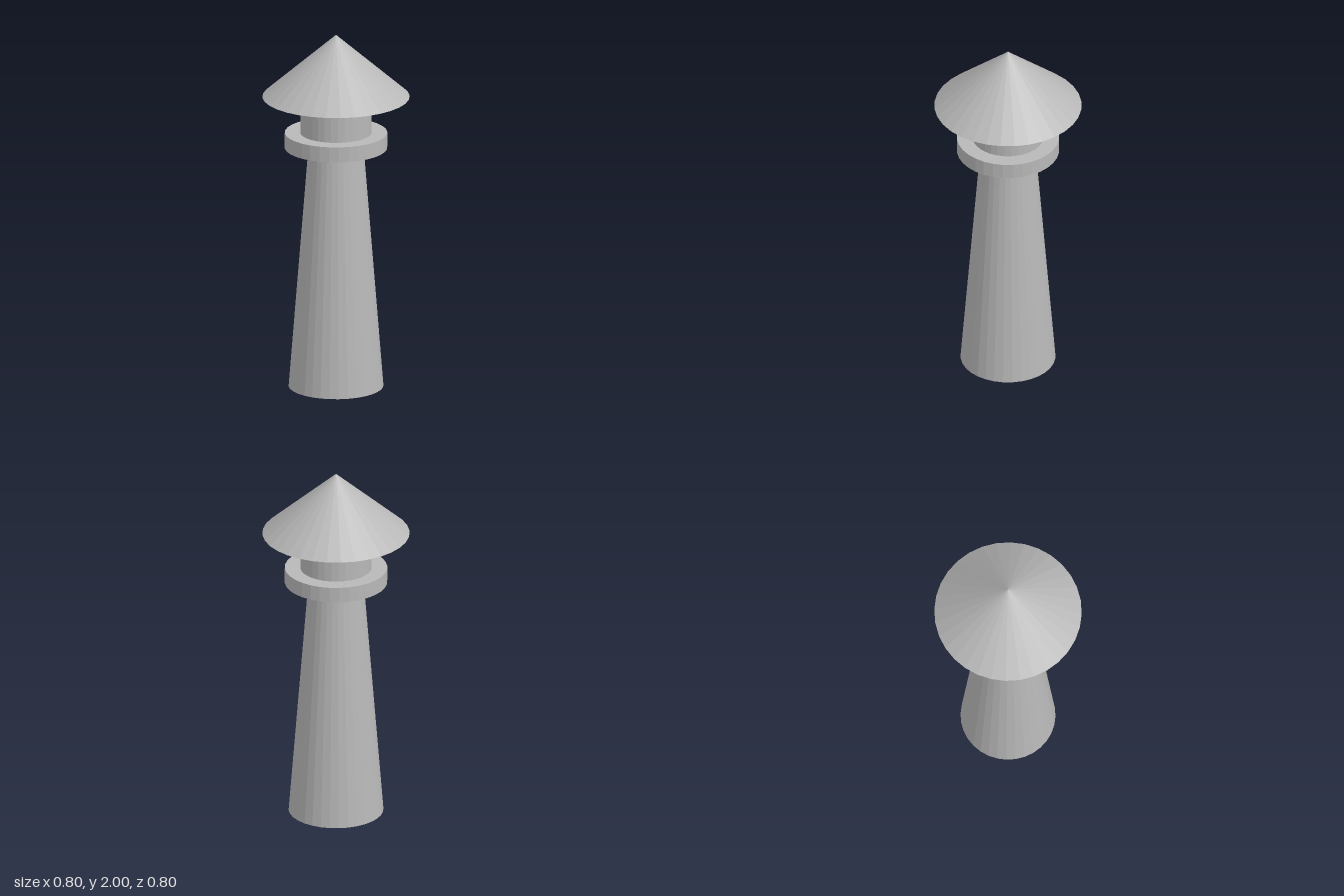
import * as THREE from 'three';

const SIDES = 32;

export function createModel() {
  const group = new THREE.Group();
  group.name = 'lighthouse';

  const stone = new THREE.MeshStandardMaterial({ color: 0xb8b8b8, flatShading: true });
  stone.name = 'grey stone';

  // Round section standing between two heights
  function addSection(name, topRadius, bottomRadius, y0, y1) {
    const geometry = topRadius > 0
      ? new THREE.CylinderGeometry(topRadius, bottomRadius, y1 - y0, SIDES)
      : new THREE.ConeGeometry(bottomRadius, y1 - y0, SIDES);
    const mesh = new THREE.Mesh(geometry, stone);
    mesh.name = name;
    mesh.position.y = (y0 + y1) / 2;
    group.add(mesh);
  }

  addSection('tower', 0.151, 0.259, 0, 1.357);
  addSection('gallery', 0.28, 0.28, 1.357, 1.443);
  addSection('lanternRoom', 0.195, 0.195, 1.443, 1.648);
  addSection('roof', 0, 0.402, 1.648, 2);

  return group;
}
